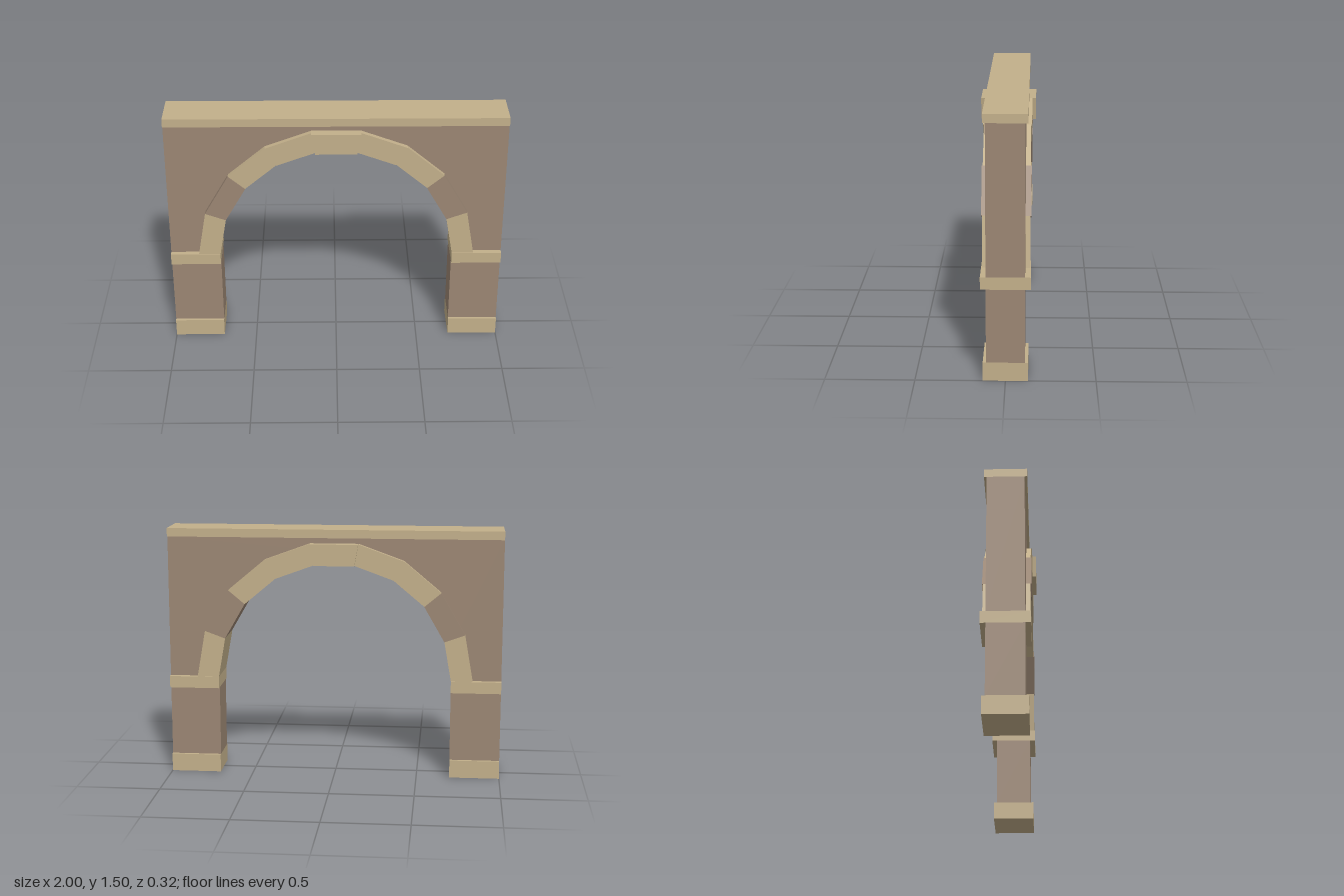
import * as THREE from 'three';

const SPRING = 0.6, INNER = 0.7, OUTER = 0.83, BLOCKS = 9;

const trim = new THREE.MeshStandardMaterial({ color: 0xc2af8a });
trim.name = 'pale stone';
const stone = new THREE.MeshStandardMaterial({ color: 0x9b8673 });
stone.name = 'brown stone';

// Point on the arch at joint i, counted from the +x springing
const joint = (r, i) => {
  const a = (i / BLOCKS) * Math.PI;
  return new THREE.Vector2(r * Math.cos(a), SPRING + r * Math.sin(a));
};

export function createModel() {
  const group = new THREE.Group();
  group.name = 'archway';

  const add = (name, geometry, material) => {
    const mesh = new THREE.Mesh(geometry, material);
    mesh.name = name;
    group.add(mesh);
    return mesh;
  };
  const slab = (name, x, width, y0, y1, depth, material) =>
    add(name, new THREE.BoxGeometry(width, y1 - y0, depth), material)
      .position.set(x, (y0 + y1) / 2, 0);
  const extrude = (name, points, depth, material) => {
    const g = new THREE.ExtrudeGeometry(new THREE.Shape(points), { depth, bevelEnabled: false });
    g.translate(0, 0, -depth / 2);
    add(name, g, material);
  };

  // Piers with a plinth and an impost
  for (const [side, s] of [['left', 1], ['right', -1]]) {
    const x = s * 0.85;
    slab(side + 'Plinth', x, 0.3, 0, 0.107, 0.25, trim);
    slab(side + 'Pier', x, 0.3, 0.107, 0.53, 0.214, stone);
    slab(side + 'Impost', x, 0.3, 0.53, SPRING, 0.276, trim);
  }

  // Wall around the arch, its opening hidden behind the arch blocks
  const wall = [];
  for (let i = 0; i <= BLOCKS; i++) wall.push(joint(0.77, i));
  wall.push(new THREE.Vector2(-1, SPRING), new THREE.Vector2(-1, 1.45),
    new THREE.Vector2(1, 1.45), new THREE.Vector2(1, SPRING));
  extrude('wall', wall, 0.214, stone);

  // Arch blocks of alternating depth, with a deeper keystone
  for (let i = 0; i < BLOCKS; i++) {
    const key = i === 4;
    const depth = key ? 0.322 : i % 2 ? 0.278 : 0.268;
    extrude(key ? 'keystone' : 'archBlock' + (i + 1),
      [joint(INNER, i), joint(OUTER, i), joint(OUTER, i + 1), joint(INNER, i + 1)],
      depth, i === 1 || i === 7 ? stone : trim);
  }

  // Coping along the top
  slab('coping', 0, 2, 1.45, 1.5, 0.244, trim);

  return group;
}
